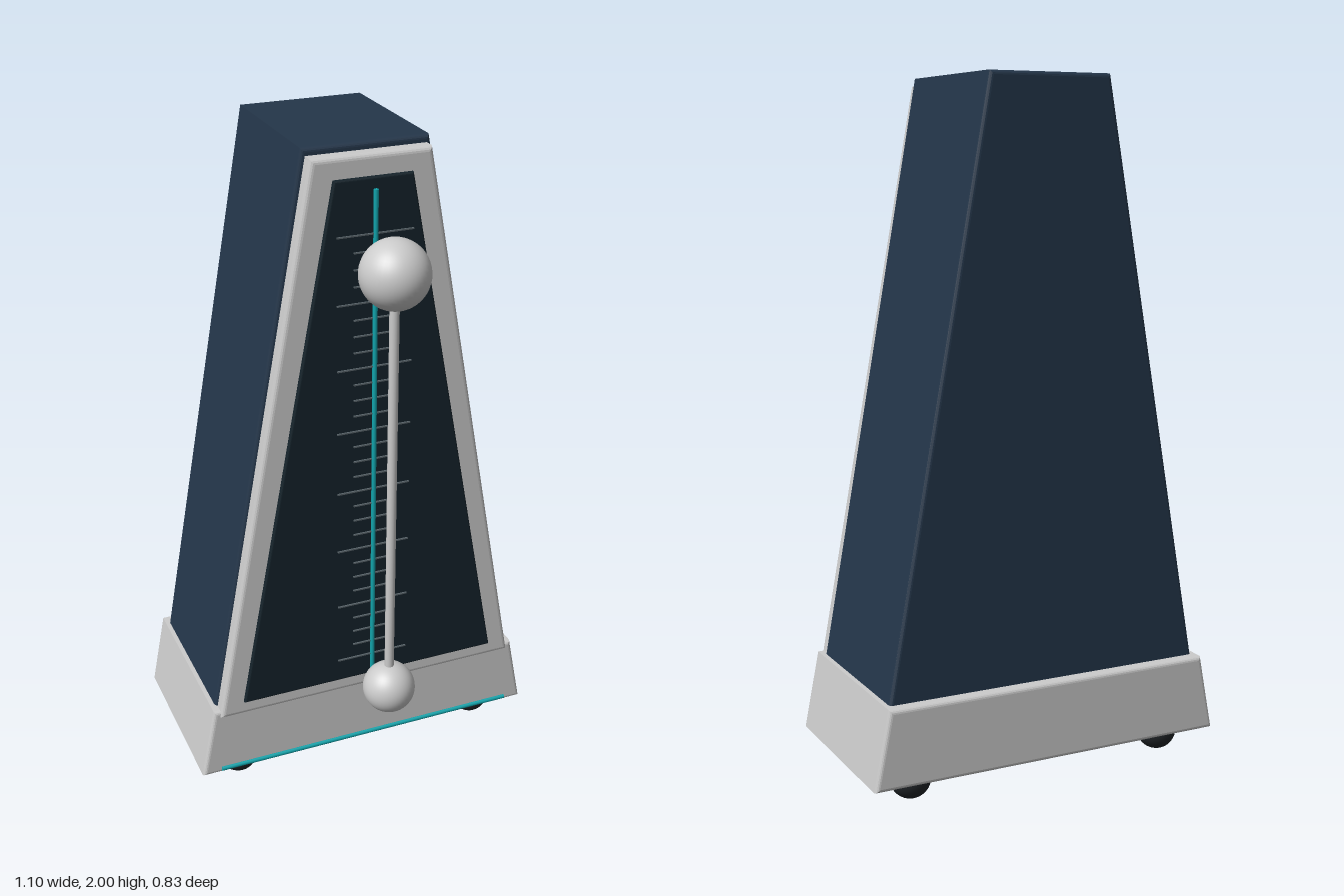
import * as THREE from 'three';

const material = (color) => new THREE.MeshStandardMaterial({ color });
const grey = material(0xcccccc);
const navy = material(0x24364a);
const black = material(0x14222a);
const rubber = material(0x22262a);
const teal = material(0x12a5ad);
const tickGrey = material(0x59646a);

function add(parent, name, geometry, mat, x = 0, y = 0, z = 0) {
  const mesh = new THREE.Mesh(geometry, mat);
  mesh.name = name;
  mesh.position.set(x, y, z);
  parent.add(mesh);
  return mesh;
}

// Corners of a symmetric trapezoid, anticlockwise
const trapezoid = (y0, half0, y1, half1) =>
  [[-half0, y0], [half0, y0], [half1, y1], [-half1, y1]].map(([x, y]) => new THREE.Vector2(x, y));

// Trapezoid slab between two z planes, with rounded front and back edges
function slab(corners, zBack, zFront, bevel, hole) {
  const shape = new THREE.Shape(corners);
  if (hole) shape.holes.push(new THREE.Path(hole));
  const geometry = new THREE.ExtrudeGeometry(shape, {
    depth: zFront - zBack - 2 * bevel,
    bevelSize: bevel,
    bevelThickness: bevel,
    bevelOffset: -bevel,
    bevelSegments: 4,
  });
  return geometry.translate(0, 0, zBack + bevel);
}

export function createModel() {
  const model = new THREE.Group();
  model.name = 'metronome';

  // Housing and plinth
  add(model, 'body', slab(trapezoid(0.28, 0.495, 2, 0.185), -0.38, 0.12, 0.012), navy);
  add(model, 'base', slab(trapezoid(0.07, 0.55, 0.3, 0.505), -0.415, 0.155, 0.012), grey);

  // Front frame and the dark dial panel set into it
  add(model, 'frontFrame', slab(trapezoid(0.28, 0.488, 1.98, 0.175), 0.11, 0.165, 0.014,
    trapezoid(0.35, 0.395, 1.9, 0.105)), grey);
  add(model, 'dialPanel', slab(trapezoid(0.328, 0.414, 1.92, 0.115), 0.115, 0.177, 0.006), black);

  // Tempo scale, every fourth tick longer
  const scale = new THREE.Group();
  scale.name = 'tempoScale';
  model.add(scale);
  for (let i = 0; i <= 28; i++) {
    const width = i % 4 === 0 ? 0.225 : 0.125;
    add(scale, 'tick', new THREE.BoxGeometry(width, 0.004, 0.005), tickGrey, 0, 0.41 + i * 0.0485, 0.187);
  }

  // Teal centre line and base trim
  add(model, 'centreLine', new THREE.CylinderGeometry(0.007, 0.007, 1.56, 12), teal, 0, 1.11, 0.188);
  add(model, 'baseTrim', new THREE.CylinderGeometry(0.007, 0.007, 0.98, 12), teal, 0, 0.085, 0.156)
    .rotation.z = Math.PI / 2;

  // Pendulum standing clear of the dial
  const pendulum = new THREE.Group();
  pendulum.name = 'pendulum';
  pendulum.position.z = 0.317;
  model.add(pendulum);
  add(pendulum, 'rod', new THREE.CylinderGeometry(0.014, 0.014, 1.32, 20), grey, 0, 1.035, 0);
  add(pendulum, 'weight', new THREE.SphereGeometry(0.098, 40, 28), grey, 0, 1.697, 0);
  add(pendulum, 'pivotBall', new THREE.SphereGeometry(0.079, 40, 28), grey, 0, 0.373, 0);

  // Round feet
  for (const x of [-0.408, 0.408])
    for (const z of [0.065, -0.322])
      add(model, 'foot', new THREE.SphereGeometry(0.06, 28, 20), rubber, x, 0.06, z);

  return model;
}
